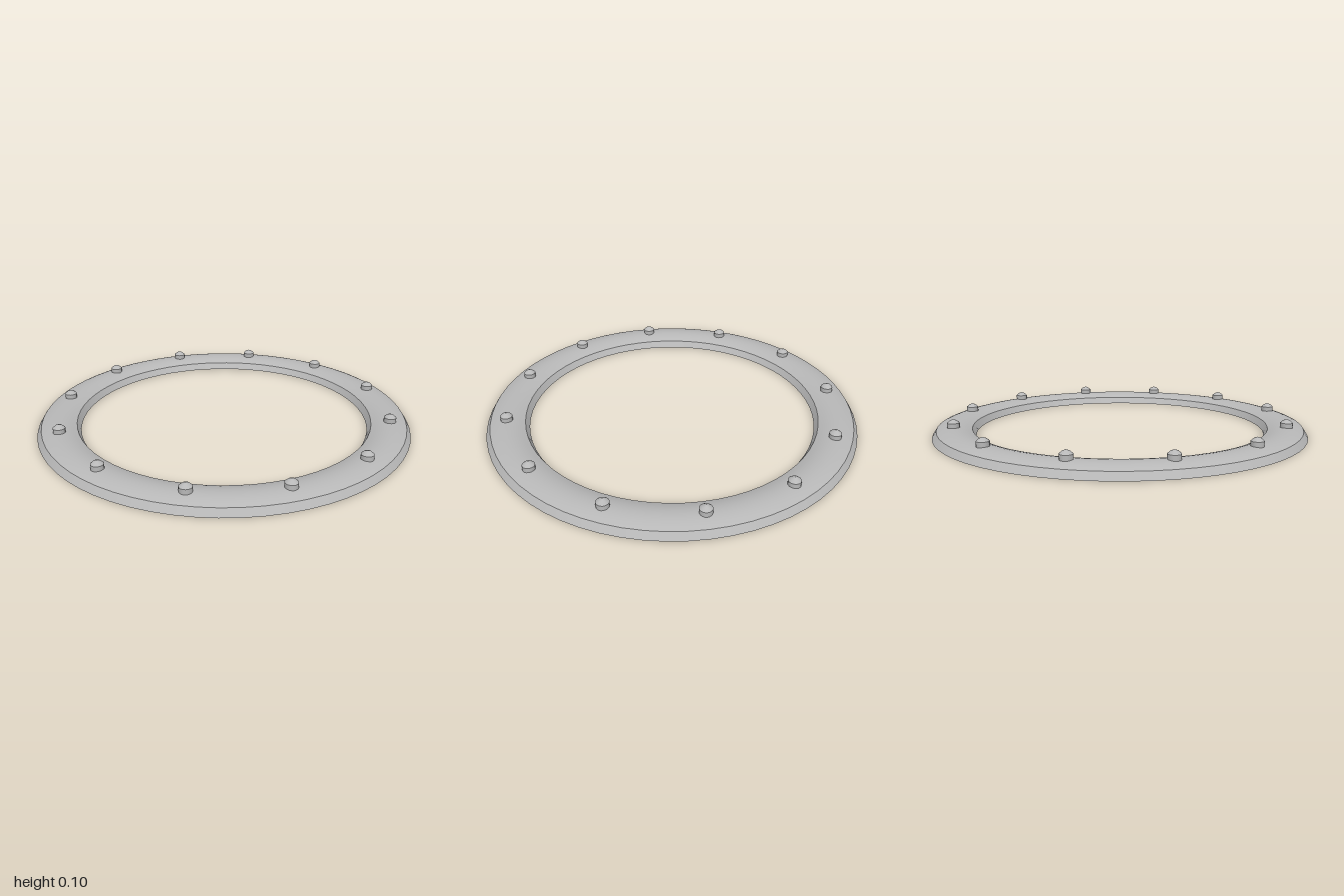
import * as THREE from 'three';

export function createModel() {
  const model = new THREE.Group();
  const metal = new THREE.MeshStandardMaterial({ color: 0xb8b8b8, side: THREE.DoubleSide });
  metal.name = 'grey metal';

  // Turned shell; separate shells keep the edges between them sharp
  const turn = (name, profile, sides) => {
    const points = profile.map(([r, y]) => new THREE.Vector2(r, y));
    const mesh = new THREE.Mesh(new THREE.LatheGeometry(points, sides), metal);
    mesh.name = name;
    return mesh;
  };

  // Ring: hollow underneath, with sloping walls and a gently domed face
  const middle = 0.885, halfWidth = 0.092, shoulder = 0.036, rise = 0.021;
  const dome = [];
  for (let i = 0; i <= 8; i++) {
    const t = 1 - i / 4;
    dome.push([middle + halfWidth * t, shoulder + rise * (1 - t * t)]);
  }
  const ring = new THREE.Group();
  ring.name = 'ring';
  ring.add(
    turn('outerWall', [[1, 0], [middle + halfWidth, shoulder]], 64),
    turn('domedFace', dome, 64),
    turn('innerWall', [[middle - halfWidth, shoulder], [0.773, 0]], 64)
  );
  model.add(ring);

  // Twelve rivets around the middle of the face
  for (let i = 0; i < 12; i++) {
    const angle = (i * Math.PI) / 6;
    const rivet = new THREE.Group();
    rivet.name = 'rivet';
    rivet.add(
      turn('rivetSide', [[0.032, 0.05], [0.032, 0.08]], 16),
      turn('rivetTop', [[0.032, 0.08], [0.018, 0.092], [0, 0.099]], 16)
    );
    rivet.position.set(Math.sin(angle) * 0.888, 0, Math.cos(angle) * 0.888);
    model.add(rivet);
  }
  return model;
}
